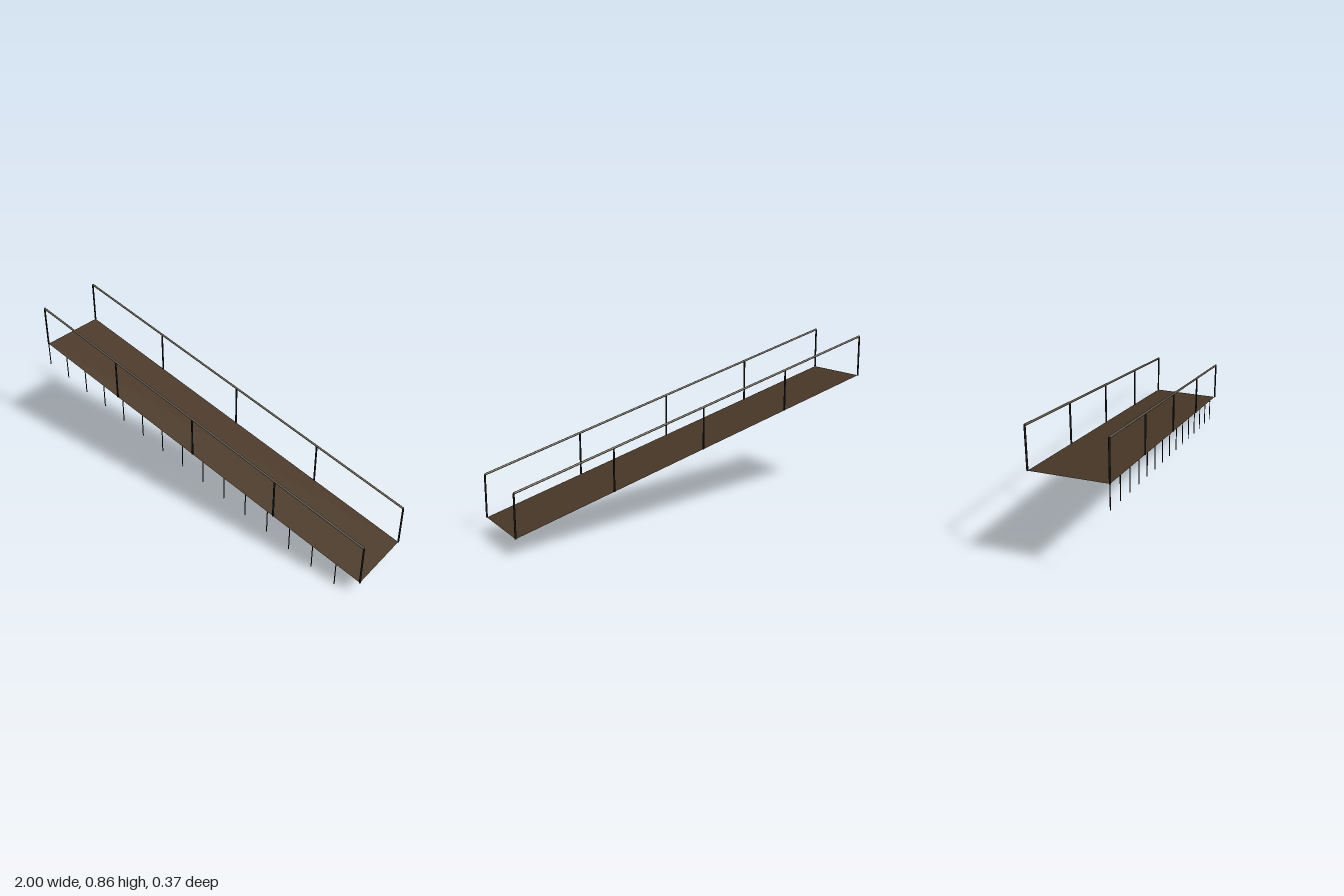
import * as THREE from 'three';

export function createModel() {
  const group = new THREE.Group();
  const wood = new THREE.MeshStandardMaterial({ name: 'brown deck', color: 0x4a3929, side: THREE.DoubleSide });
  const railMetal = new THREE.MeshStandardMaterial({ name: 'grey brown rail', color: 0x5f584a });
  const darkMetal = new THREE.MeshStandardMaterial({ name: 'near black metal', color: 0x1a1a1a });

  const endX = 0.9955, halfWidth = 0.178;
  const highY = 0.639, lowY = 0.0865;
  const railHeight = 0.2115, rodLength = 0.125;
  const slopeLength = Math.hypot(2 * endX, highY - lowY);
  const tilt = Math.atan2(lowY - highY, 2 * endX);
  const midY = (highY + lowY) / 2;
  const deckY = x => midY + Math.tan(tilt) * x;

  const add = (name, geometry, material, x, y, z) => {
    const mesh = new THREE.Mesh(geometry, material);
    mesh.name = name;
    mesh.position.set(x, y, z);
    group.add(mesh);
    return mesh;
  };

  // Sloping walkway: a single thin sheet
  const deckGeo = new THREE.PlaneGeometry(slopeLength, halfWidth * 2).rotateX(-Math.PI / 2);
  add('deck', deckGeo, wood, 0, midY, 0).rotation.z = tilt;

  // Handrails and their five posts on both sides
  const railGeo = new THREE.CylinderGeometry(0.0053, 0.0053, slopeLength, 12).rotateZ(Math.PI / 2);
  const postGeo = new THREE.CylinderGeometry(0.0045, 0.0045, railHeight, 12);
  for (const side of [1, -1]) {
    const z = side * halfWidth;
    add('handrail', railGeo, railMetal, 0, midY + railHeight, z).rotation.z = tilt;
    for (let i = 0; i < 5; i++) {
      const x = -endX + (i * endX) / 2;
      add('railPost', postGeo, darkMetal, x, deckY(x) + railHeight / 2, z);
    }
  }

  // Thin rods hanging below the front edge
  const rodGeo = new THREE.CylinderGeometry(0.0025, 0.0025, rodLength, 8);
  for (let i = 0; i < 15; i++) {
    const x = -endX + (i * 2 * endX) / 15;
    add('supportRod', rodGeo, darkMetal, x, deckY(x) - rodLength / 2, halfWidth);
  }
  return group;
}
